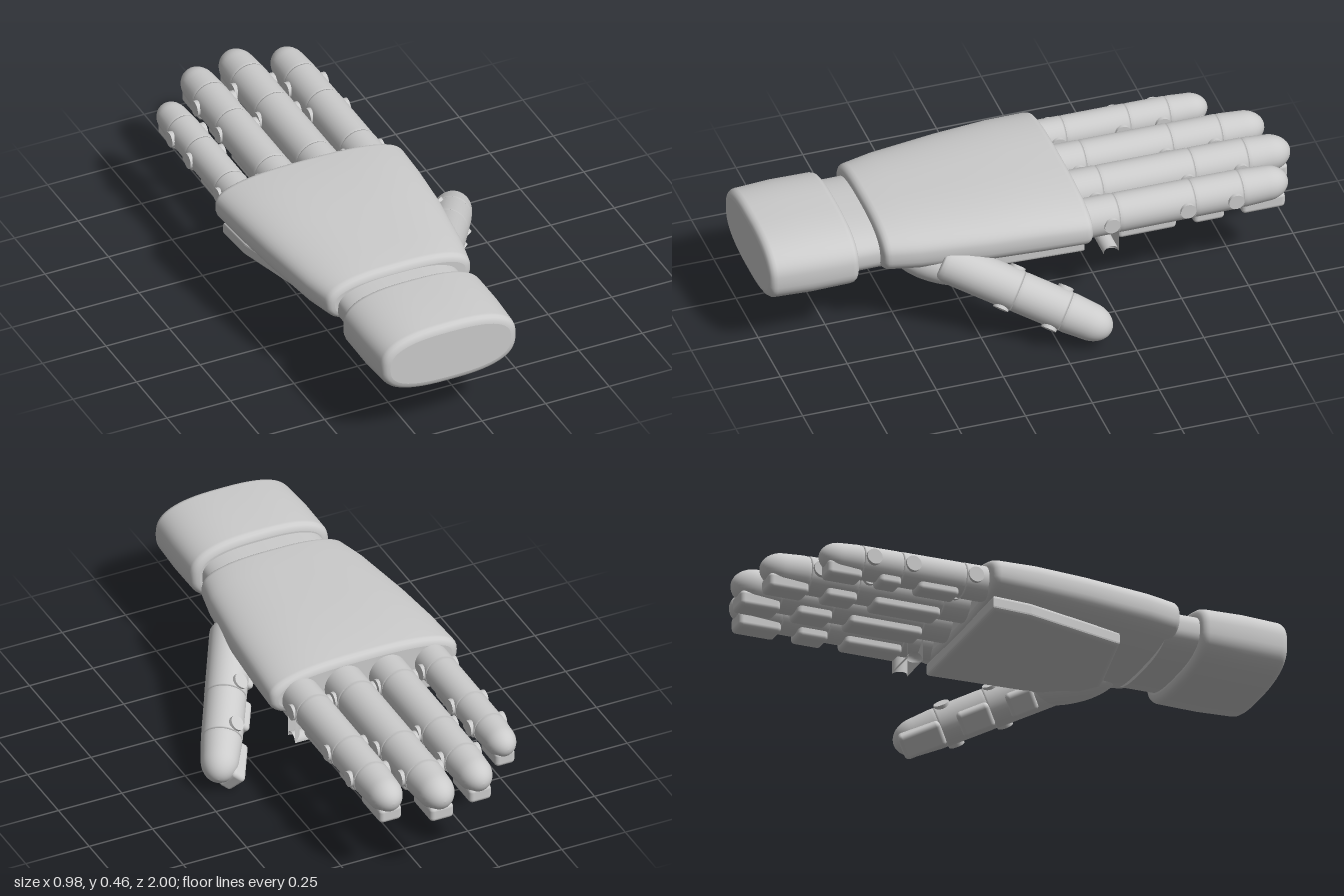
import * as THREE from 'three';
import { RoundedBoxGeometry } from 'three/addons/geometries/RoundedBoxGeometry.js';

const grey = new THREE.MeshStandardMaterial({ color: 0xcccccc });

function add(parent, name, geometry, x = 0, y = 0, z = 0) {
  const mesh = new THREE.Mesh(geometry, grey);
  mesh.name = name;
  mesh.position.set(x, y, z);
  parent.add(mesh);
  return mesh;
}

// Skin of superellipse sections; each station is [z, left, right, bottom, top], z falling
function loft(stations, power = 2.7, sides = 64) {
  const pos = [], index = [];
  const rings = [stations[0], ...stations, stations[stations.length - 1]];
  for (const [z, x0, x1, y0, y1] of rings) {
    for (let i = 0; i < sides; i++) {
      const a = (i / sides) * Math.PI * 2, c = Math.cos(a), s = Math.sin(a);
      pos.push((x0 + x1) / 2 + (x1 - x0) / 2 * Math.sign(c) * Math.abs(c) ** (2 / power),
        (y0 + y1) / 2 + (y1 - y0) / 2 * Math.sign(s) * Math.abs(s) ** (2 / power), z);
    }
  }
  const last = rings.length - 1;
  for (let r = 1; r < last - 1; r++) {
    for (let i = 0; i < sides; i++) {
      const j = (i + 1) % sides, a = r * sides, b = a + sides;
      index.push(a + i, b + i, a + j, a + j, b + i, b + j);
    }
  }
  // flat end caps on their own rings
  for (const r of [0, last]) {
    const [z, x0, x1, y0, y1] = rings[r], centre = pos.length / 3;
    pos.push((x0 + x1) / 2, (y0 + y1) / 2, z);
    for (let i = 0; i < sides; i++) {
      const a = r * sides + i, b = r * sides + (i + 1) % sides;
      if (r === 0) index.push(centre, a, b);
      else index.push(centre, b, a);
    }
  }
  const g = new THREE.BufferGeometry();
  g.setAttribute('position', new THREE.Float32BufferAttribute(pos, 3));
  g.setIndex(index);
  g.computeVertexNormals();
  return g;
}

// Adds quarter-round edges of radius e at both ends of a list of stations
function rounded(stations, e) {
  const edge = ([z, x0, x1, y0, y1], side) => [0, 0.25, 0.5, 0.75, 1].map((t) => {
    const a = t * Math.PI / 2, d = e * (1 - Math.sin(a));
    return [z + side * e * (Math.cos(a) - 1), x0 + d, x1 - d, y0 + d, y1 - d];
  });
  const first = edge(stations[0], 1);
  const end = edge(stations[stations.length - 1], -1).reverse();
  return [...first, ...stations.slice(1, -1), ...end];
}

// Finger running along -z: segments, hinge discs on both sides, pads below
function finger(name, r, length, joints, padStart) {
  const g = new THREE.Group();
  g.name = name;
  const seams = [-0.06, ...joints.map((j) => j + 0.035)];
  seams.forEach((s0, i) => {
    const isTip = i === seams.length - 1;
    const s1 = isTip ? length : seams[i + 1];
    const r0 = r * (1 - 0.02 * i), p = [];
    p.push([0, s0 - 0.012], [r0 * 0.93, s0 - 0.012], [r0 * 0.985, s0 - 0.004], [r0, s0 + 0.012]);
    if (isTip) {
      const dome = r * 1.15, rd = r0 * 0.93;
      for (let k = 0; k <= 10; k++) {
        const a = (k / 10) * Math.PI / 2;
        p.push([k === 10 ? 0 : rd * Math.cos(a), s1 - dome + dome * Math.sin(a)]);
      }
    } else {
      p.push([r0 * 0.99, s1 - 0.008], [r0 * 0.965, s1], [0, s1]);
    }
    const lathe = new THREE.LatheGeometry(p.map(([x, y]) => new THREE.Vector2(x, y)), 32);
    add(g, isTip ? 'fingertip' : 'fingerSegment', lathe.rotateX(-Math.PI / 2));
  });
  for (const j of joints) {
    const disc = new THREE.CylinderGeometry(0.029, 0.029, 2 * r + 0.012, 24);
    add(g, 'hingeDisc', disc.rotateZ(Math.PI / 2), 0, 0, -j);
  }
  const stops = [padStart, ...joints.filter((j) => j > padStart), length + 0.012];
  for (let i = 0; i < stops.length - 1; i++) {
    const a = stops[i] + 0.032, b = stops[i + 1] - 0.032;
    add(g, 'gripPad', new RoundedBoxGeometry(r * 1.2, 0.06, b - a, 3, 0.016),
      0, -r + 0.015, -(a + b) / 2);
  }
  return g;
}

export function createModel() {
  const hand = new THREE.Group();
  hand.name = 'hand';

  // Forearm cuff, wrist and palm body
  add(hand, 'cuff', loft(rounded([
    [1.0, -0.388, 0.142, 0.19, 0.437],
    [0.84, -0.396, 0.148, 0.186, 0.441],
    [0.665, -0.396, 0.148, 0.19, 0.437]], 0.028)));
  add(hand, 'wrist', loft([
    [0.7, -0.365, 0.11, 0.225, 0.402],
    [0.54, -0.365, 0.11, 0.225, 0.402]]));
  add(hand, 'palm', loft(rounded([
    [0.58, -0.405, 0.165, 0.24, 0.432],
    [0.45, -0.43, 0.188, 0.236, 0.438],
    [0.2, -0.465, 0.222, 0.234, 0.445],
    [0, -0.485, 0.238, 0.234, 0.446],
    [-0.178, -0.495, 0.246, 0.238, 0.436]], 0.028)));

  // Thin plate under the palm
  const b = 0.018;
  const outline = [[0.14, -0.15], [-0.44, -0.15], [-0.43, -0.02], [-0.33, 0.35], [0, 0.42], [0.12, 0.33]];
  const plate = new THREE.ExtrudeGeometry(
    new THREE.Shape(outline.map(([x, z]) => new THREE.Vector2(x, z))),
    { depth: 0.03, bevelEnabled: true, bevelSize: b, bevelThickness: 0.014, bevelSegments: 4 });
  add(hand, 'palmPlate', plate.rotateX(Math.PI / 2), 0, 0.246, 0);

  // Four fingers: [name, x, radius, tip z, hinge z values]
  const baseZ = -0.15;
  for (const [name, x, r, tip, hinges] of [
    ['littleFinger', -0.384, 0.065, -0.805, [-0.23, -0.47, -0.62]],
    ['ringFinger', -0.211, 0.073, -0.96, [-0.245, -0.57, -0.755]],
    ['middleFinger', -0.04, 0.077, -1.0, [-0.25, -0.595, -0.795]],
    ['indexFinger', 0.131, 0.073, -0.935, [-0.256, -0.54, -0.72]],
  ]) {
    const f = finger(name, r, baseZ - tip, hinges.map((z) => baseZ - z), 0.1);
    f.position.set(x, 0.33, baseZ);
    hand.add(f);
  }

  // Thumb, splayed outward and down with its pads facing the palm
  const thumb = finger('thumb', 0.077, 0.58, [0.185, 0.37], 0.02);
  const back = new THREE.Vector3(-0.473, 0.34, 0.813).normalize();
  const side = new THREE.Vector3(0.745, 0.63, 0.17).cross(back).normalize();
  const up = back.clone().cross(side);
  thumb.quaternion.setFromRotationMatrix(new THREE.Matrix4().makeBasis(side, up, back));
  thumb.position.set(0.179, 0.258, 0.3);
  hand.add(thumb);

  // Rounded thumb root blending into the palm
  const root = add(hand, 'thumbRoot', new THREE.SphereGeometry(1, 32, 20), 0.125, 0.258, 0.36);
  root.scale.set(0.085, 0.072, 0.18);
  root.lookAt(0.265, 0.258 - 0.04, 0.11);

  return hand;
}
